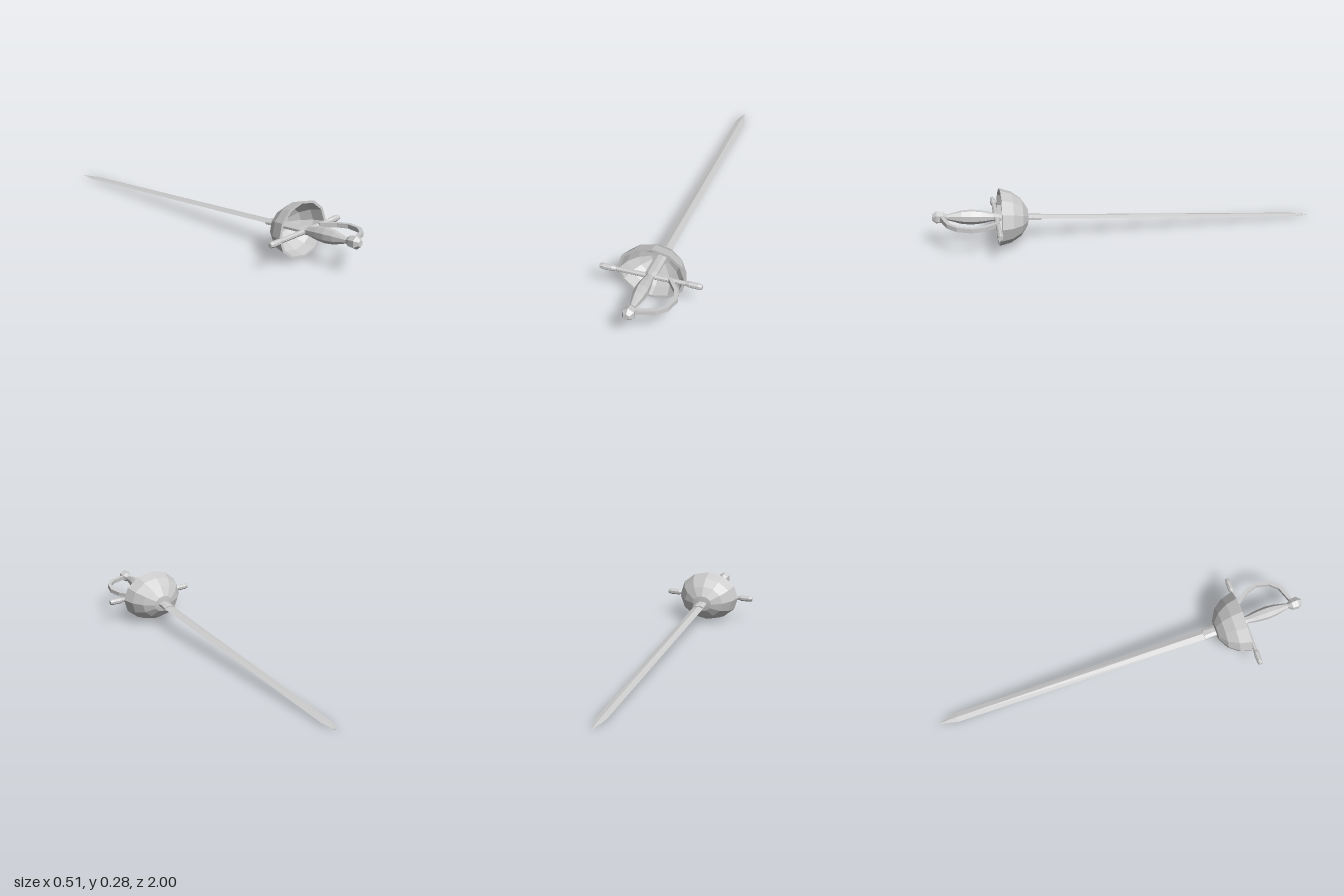
import * as THREE from 'three';

const mat = new THREE.MeshStandardMaterial({ color: 0xcccccc, flatShading: true, side: THREE.DoubleSide });

function part(name, geometry, parent) {
  const mesh = new THREE.Mesh(geometry, mat);
  mesh.name = name;
  parent.add(mesh);
  return mesh;
}

// Skin over n-sided elliptical sections [z, halfWidth, halfHeight], ordered by rising z
function loft(sections, n, turn = 0) {
  const pos = [], idx = [];
  for (const [z, w, h] of sections)
    for (let i = 0; i < n; i++) {
      const a = turn + (i / n) * Math.PI * 2;
      pos.push(Math.cos(a) * w, Math.sin(a) * h, z);
    }
  for (let s = 0; s < sections.length - 1; s++)
    for (let i = 0; i < n; i++) {
      const j = (i + 1) % n, a = s * n, b = a + n;
      idx.push(a + i, a + j, b + j, a + i, b + j, b + i);
    }
  // End caps
  const last = (sections.length - 1) * n;
  for (let i = 1; i < n - 1; i++) idx.push(0, i + 1, i, last, last + i, last + i + 1);
  const g = new THREE.BufferGeometry();
  g.setAttribute('position', new THREE.Float32BufferAttribute(pos, 3));
  g.setIndex(idx);
  g.computeVertexNormals();
  return g;
}

export function createModel() {
  const model = new THREE.Group();
  model.name = 'rapier';

  // The sword rests on its tip and the rim of its cup, so its axis is tilted
  const sword = new THREE.Group();
  sword.name = 'sword';
  sword.rotation.x = -0.083;
  sword.position.y = 0.088;
  model.add(sword);

  // Diamond-section blade with a short point
  part('blade', loft([[-1.003, 0.001, 0.001], [-0.9, 0.026, 0.006], [0.47, 0.03, 0.01]], 4), sword);
  // Thick collar where the blade leaves the cup
  part('bladeCollar', loft([[0.46, 0.036, 0.014], [0.5, 0.031, 0.015], [0.69, 0.031, 0.015]], 8, Math.PI / 8), sword);

  // Hollow twelve-sided oval cup
  const outer = [[0, 0.522], [0.045, 0.528], [0.092, 0.56], [0.125, 0.611], [0.141, 0.67]];
  const inner = [[0.129, 0.67], [0.115, 0.616], [0.085, 0.569], [0.04, 0.538], [0, 0.533]];
  const cup = new THREE.LatheGeometry([...outer, ...inner].map(p => new THREE.Vector2(...p)), 12);
  cup.rotateX(Math.PI / 2);
  cup.scale(1.22, 1, 1);
  part('cupGuard', cup, sword);

  // Cross bar with swollen ends
  const half = [[0, 0.014, 0.014], [0.172, 0.010, 0.011], [0.19, 0.015, 0.016], [0.235, 0.015, 0.016], [0.253, 0.011, 0.012]];
  const bar = [...half.slice(1).reverse().map(([z, w, h]) => [-z, w, h]), ...half];
  const crossBar = part('crossBar', loft(bar, 8, Math.PI / 8), sword);
  crossBar.rotation.y = Math.PI / 2;
  crossBar.rotation.z = 0;
  crossBar.position.set(0, -0.004, 0.684);

  // Swelling grip
  part('grip', loft([[0.672, 0.032, 0.022], [0.7, 0.021, 0.02], [0.76, 0.03, 0.034],
    [0.81, 0.034, 0.039], [0.86, 0.029, 0.034], [0.93, 0.014, 0.014], [0.95, 0.016, 0.016]], 8, Math.PI / 8), sword);

  // Faceted pommel
  part('pommel', loft([[0.93, 0.015, 0.015], [0.95, 0.03, 0.029], [0.982, 0.033, 0.033], [1.003, 0.016, 0.016]], 6, Math.PI / 6), sword);

  // Knuckle bow: flat curved strap from the cross bar to the pommel
  const path = [[0.095, 0.685], [0.15, 0.757], [0.168, 0.815], [0.15, 0.885], [0.11, 0.927], [0.015, 0.958]];
  const centre = [0.04, 0.81], width = 0.01;
  const offset = s => path.map(([x, z]) => {
    const dx = x - centre[0], dz = z - centre[1], l = Math.hypot(dx, dz);
    return new THREE.Vector2(x + dx / l * width * s, -(z + dz / l * width * s));
  });
  const strap = new THREE.Shape([...offset(1), ...offset(-1).reverse()]);
  const bow = new THREE.ExtrudeGeometry(strap, { depth: 0.022, bevelEnabled: false });
  bow.rotateX(-Math.PI / 2);
  bow.translate(0, -0.011, 0);
  part('knuckleBow', bow, sword);

  return model;
}
